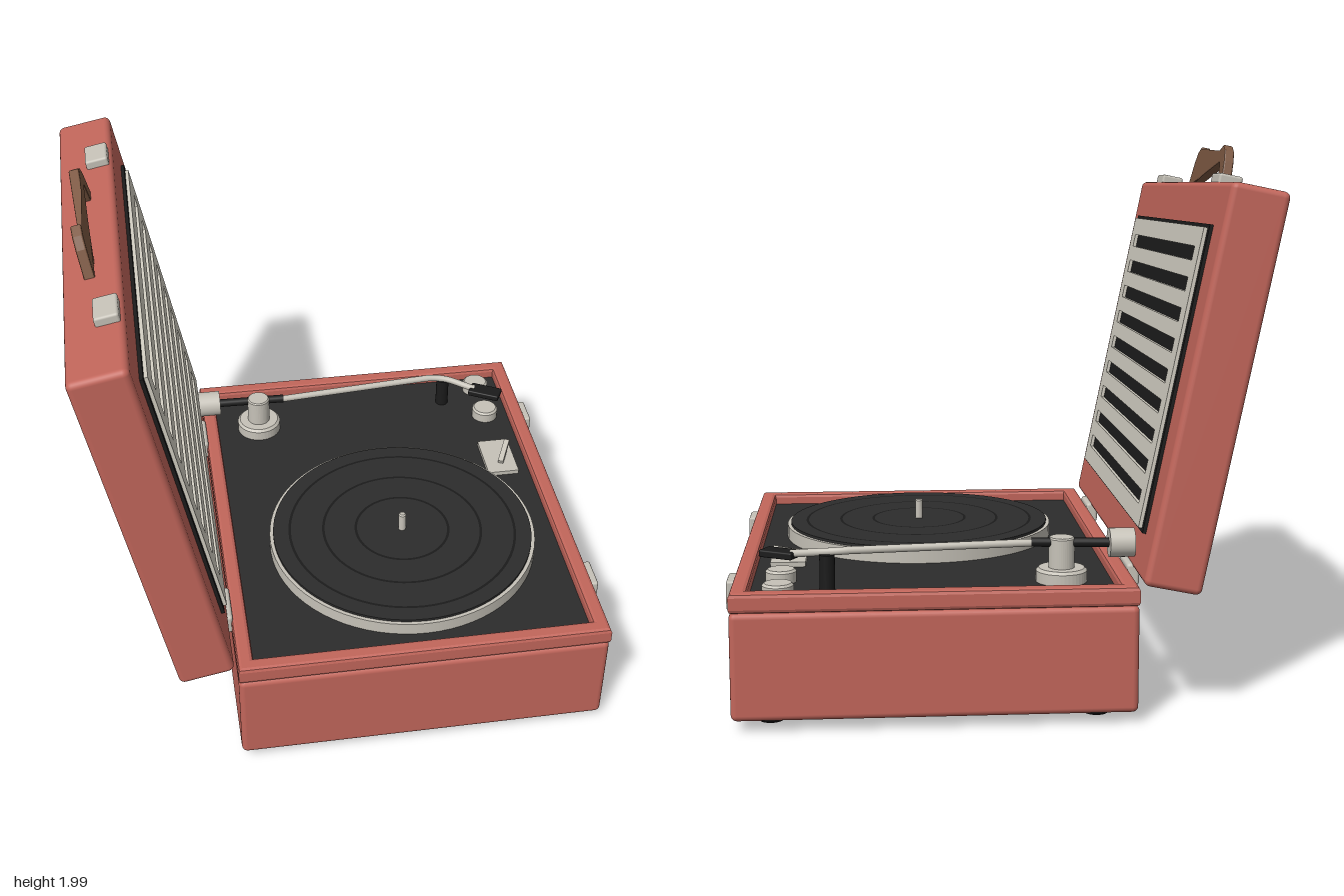
import * as THREE from 'three';
import { RoundedBoxGeometry } from 'three/addons/geometries/RoundedBoxGeometry.js';

const mat = (name, color) => new THREE.MeshStandardMaterial({ name, color });

function rect(w, h, cx = 0, cy = 0, Type = THREE.Shape) {
  const p = new Type();
  p.moveTo(cx - w / 2, cy - h / 2);
  p.lineTo(cx + w / 2, cy - h / 2);
  p.lineTo(cx + w / 2, cy + h / 2);
  p.lineTo(cx - w / 2, cy + h / 2);
  p.closePath();
  return p;
}

export function createModel() {
  const red = mat('red leatherette', 0xc2665b);
  const metal = mat('satin metal', 0xc6c2b8);
  const cream = mat('cream grille', 0xd2cec2);
  const black = mat('black deck', 0x2c2c2c);
  const dark = mat('dark plastic', 0x1b1b1b);
  const brown = mat('brown handle', 0x7c5842);

  const model = new THREE.Group();
  model.name = 'portableRecordPlayer';

  function add(parent, name, geometry, material, x = 0, y = 0, z = 0) {
    const m = new THREE.Mesh(geometry, material);
    m.name = name;
    m.position.set(x, y, z);
    parent.add(m);
    return m;
  }
  const box = (w, h, d, r) => (r ? new RoundedBoxGeometry(w, h, d, 3, r) : new THREE.BoxGeometry(w, h, d));
  // upright turned part from [radius, height] pairs
  const turned = (points, n = 40) => {
    const geo = new THREE.LatheGeometry(points.map(([r, y]) => new THREE.Vector2(r, y)), n).toNonIndexed();
    geo.computeVertexNormals();
    return geo;
  };
  const knobShape = (r, h, b) => turned([[0, 0], [r, 0], [r, h - b], [r - b, h], [0, h]]);
  const rod = (a, b, r) => new THREE.TubeGeometry(new THREE.LineCurve3(new THREE.Vector3(...a), new THREE.Vector3(...b)), 1, r, 16);

  // ---- base case ----
  const base = new THREE.Group();
  base.name = 'baseCase';
  model.add(base);
  const CX = 0.23, DECK = 0.445;
  add(base, 'baseBody', box(1.4, 0.38, 1.75, 0.022), red, CX, 0.23, 0);

  // raised rim around the deck, with bevelled edges
  const rimShape = rect(1.4, 1.75);
  rimShape.holes.push(rect(1.28, 1.63, 0, 0, THREE.Path));
  const b = 0.014;
  const rimGeo = new THREE.ExtrudeGeometry(rimShape, {
    depth: 0.07 - 2 * b, bevelEnabled: true, bevelSize: b, bevelThickness: b, bevelOffset: -b, bevelSegments: 2,
  });
  rimGeo.rotateX(-Math.PI / 2);
  add(base, 'baseRim', rimGeo, red, CX, 0.418 + b, 0);
  add(base, 'deckPlate', box(1.3, 0.04, 1.65), black, CX, DECK - 0.02, 0);

  for (const x of [-0.34, 0.8]) for (const z of [-0.725, 0.725]) {
    add(base, 'foot', turned([[0, 0], [0.044, 0], [0.052, 0.008], [0.052, 0.045], [0, 0.045]], 24), dark, x, 0, z);
  }
  for (const z of [-0.53, 0.53]) {
    add(base, 'baseLatch', box(0.04, 0.105, 0.13, 0.009), metal, 0.942, 0.408, z);
    add(base, 'hinge', box(0.046, 0.08, 0.17, 0.012), metal, -0.487, 0.464, z);
  }

  // ---- platter and record ----
  const platter = new THREE.Group();
  platter.name = 'turntable';
  platter.position.set(0.255, DECK, 0.215);
  model.add(platter);
  add(platter, 'platter', new THREE.CylinderGeometry(0.53, 0.53, 0.05, 72), metal, 0, 0.025, 0);
  add(platter, 'record', new THREE.CylinderGeometry(0.516, 0.516, 0.012, 72), black, 0, 0.054, 0);
  for (const r of [0.185, 0.315, 0.45]) {
    const ring = new THREE.RingGeometry(r - 0.005, r + 0.005, 72);
    ring.rotateX(-Math.PI / 2);
    add(platter, 'recordGroove', ring, dark, 0, 0.0612, 0);
  }
  add(platter, 'spindle', knobShape(0.015, 0.137, 0.005), metal);

  // ---- tonearm ----
  const arm = new THREE.Group();
  arm.name = 'tonearm';
  model.add(arm);
  const AY = 0.585;
  add(arm, 'pivotBase', knobShape(0.092, 0.05, 0.01), metal, -0.23, DECK, -0.6);
  add(arm, 'pivotPost', knobShape(0.047, 0.16, 0.005), metal, -0.23, DECK, -0.6);
  const weight = add(arm, 'counterweight', new THREE.CylinderGeometry(0.052, 0.052, 0.09, 32), metal, -0.442, AY, -0.617);
  weight.rotation.z = Math.PI / 2;
  add(arm, 'pivotRod', rod([-0.42, AY, -0.615], [-0.12, AY + 0.003, -0.604], 0.017), dark);
  const armPath = new THREE.CurvePath();
  const p = [[-0.13, 0.586, -0.604], [0.53, 0.583, -0.664], [0.59, 0.58, -0.668], [0.64, 0.573, -0.642], [0.73, 0.557, -0.59]]
    .map((q) => new THREE.Vector3(...q));
  armPath.add(new THREE.LineCurve3(p[0], p[1]));
  armPath.add(new THREE.QuadraticBezierCurve3(p[1], p[2], p[3]));
  armPath.add(new THREE.LineCurve3(p[3], p[4]));
  add(arm, 'armTube', new THREE.TubeGeometry(armPath, 48, 0.014, 14), metal);
  const head = add(arm, 'headshell', box(0.135, 0.026, 0.07, 0.006), dark, 0.772, 0.553, -0.565);
  head.rotation.y = -0.5;
  add(arm, 'armRest', new THREE.CylinderGeometry(0.027, 0.027, 0.125, 24), dark, 0.602, DECK + 0.0625, -0.665);

  // ---- controls ----
  for (const z of [-0.735, -0.54]) add(model, 'controlKnob', knobShape(0.055, 0.046, 0.008), metal, 0.77, DECK, z);
  add(model, 'switchPlate', box(0.13, 0.018, 0.215), metal, 0.757, DECK + 0.009, -0.228);
  const lever = add(model, 'switchLever', box(0.022, 0.022, 0.115), metal, 0.78, DECK + 0.04, -0.225);
  lever.rotation.set(0.3, -0.46, 0, 'YXZ');

  // ---- lid, leaning back on its hinges ----
  const lid = new THREE.Group();
  lid.name = 'lid';
  lid.position.set(-0.72, 1.155, 0);
  lid.rotation.z = 0.2;
  model.add(lid);
  add(lid, 'lidBody', box(0.205, 1.4, 1.75, 0.022), red);
  add(lid, 'speakerCloth', box(0.03, 1.095, 1.45), dark, 0.1, 0, 0);

  // slotted speaker grille
  const grille = rect(1.4, 1.07);
  for (let i = -4; i <= 4; i++) grille.holes.push(rect(1.23, 0.05, 0, i * 0.11, THREE.Path));
  const grilleGeo = new THREE.ExtrudeGeometry(grille, { depth: 0.016, bevelEnabled: false });
  grilleGeo.rotateY(Math.PI / 2);
  add(lid, 'speakerGrille', grilleGeo, cream, 0.112, 0, 0);

  for (const z of [-0.53, 0.53]) add(lid, 'lidLatch', box(0.085, 0.04, 0.13, 0.009), metal, 0.048, 0.711, z);

  // carrying handle, cut from a mirrored outline
  const outer = [[0.298, 0], [0.262, 0.1], [0.235, 0.14], [0.195, 0.16]];
  const inner = [[0.18, 0.093], [0.2, 0.08], [0.232, 0]];
  const half = [...outer, ...inner];
  const mirror = (list) => list.map(([x, y]) => [-x, y]).reverse();
  const outline = [...outer, ...mirror(half), ...inner];
  const handle = new THREE.Shape(outline.map(([x, y]) => new THREE.Vector2(x, y)));
  const handleGeo = new THREE.ExtrudeGeometry(handle, {
    depth: 0.026, bevelEnabled: true, bevelSize: 0.006, bevelThickness: 0.006, bevelOffset: -0.006, bevelSegments: 2,
  });
  handleGeo.rotateY(Math.PI / 2);
  add(lid, 'carryHandle', handleGeo, brown, -0.018, 0.694, 0);

  return model;
}
